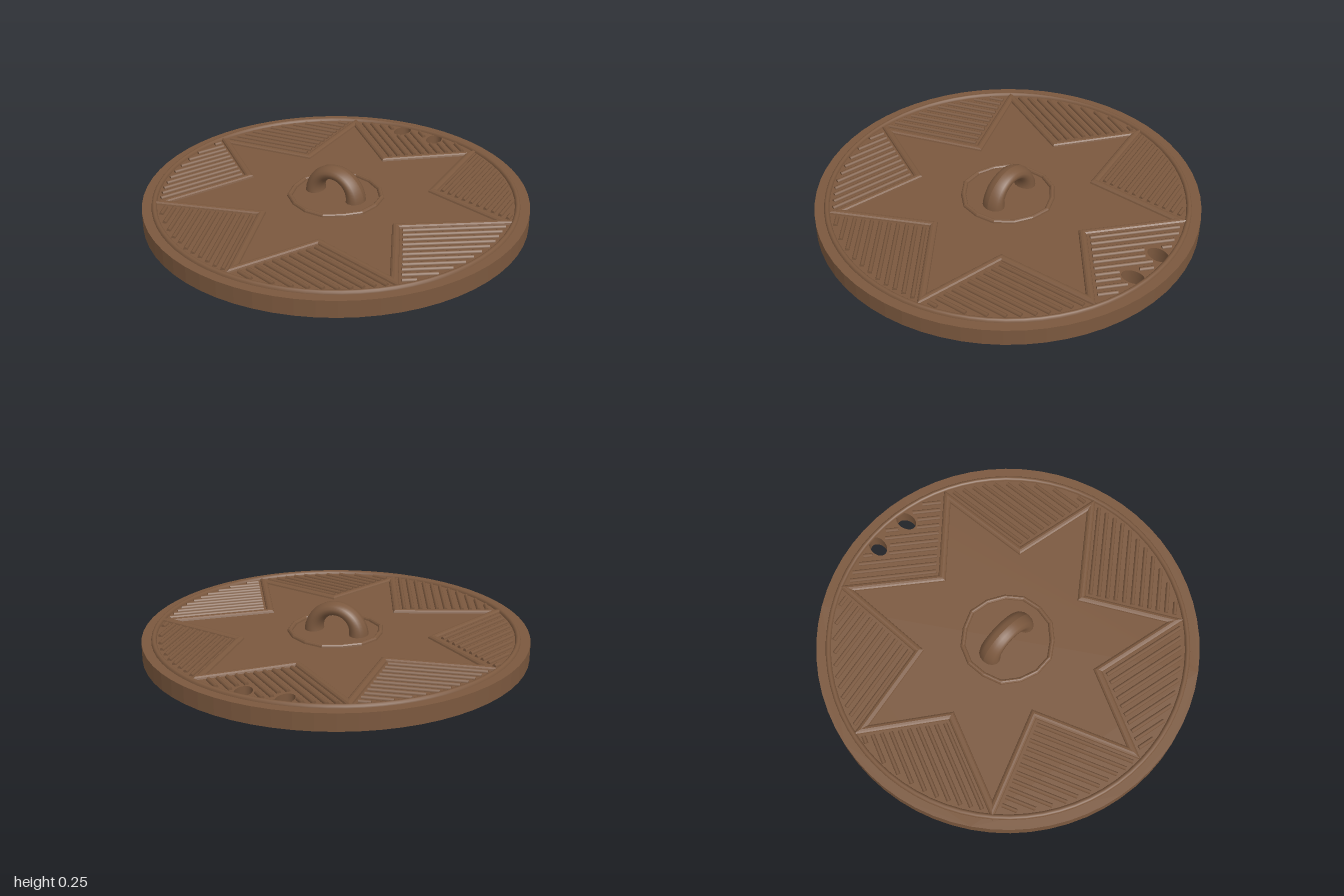
import * as THREE from 'three';
import { mergeGeometries } from 'three/addons/utils/BufferGeometryUtils.js';

const TOP = 0.09;    // height of the plate
const RIDGE = 0.016; // height of the raised lines

// Star corners as [x, z]: tip, notch, tip, notch ...
const STAR = [
  [0.005, 0.88], [0.2, 0.455], [0.685, 0.56], [0.435, 0.12], [0.87, -0.215], [0.405, -0.305], [0.36, -0.815],
  [0, -0.49], [-0.395, -0.81], [-0.37, -0.285], [-0.875, -0.19], [-0.5, 0.085], [-0.7, 0.575], [-0.2, 0.38],
].map(([x, z]) => new THREE.Vector2(x, z));

const HOLES = [-1, 1].map((s) => ({ x: s * 0.105 - 0.005, z: -0.87, tilt: s * 0.14 }));

// Closed rounded ridge swept along a loop of points, mitred at corners
function loopRidge(points, halfWidth) {
  const n = points.length, steps = 6, pos = [], index = [];
  points.forEach((p, i) => {
    const a = p.clone().sub(points[(i + n - 1) % n]).normalize();
    const b = points[(i + 1) % n].clone().sub(p).normalize();
    const na = new THREE.Vector2(-a.y, a.x), nb = new THREE.Vector2(-b.y, b.x);
    const m = na.clone().add(nb).normalize();
    m.divideScalar(m.dot(na));
    for (let j = 0; j <= steps; j++) {
      const t = (j / steps) * Math.PI, o = Math.cos(t) * halfWidth;
      pos.push(p.x + m.x * o, TOP + Math.sin(t) * RIDGE, p.y + m.y * o);
    }
  });
  for (let i = 0; i < n; i++) {
    for (let j = 0; j < steps; j++) {
      const a = i * (steps + 1) + j, b = ((i + 1) % n) * (steps + 1) + j;
      index.push(a, b, a + 1, b, b + 1, a + 1);
    }
  }
  let g = new THREE.BufferGeometry();
  g.setAttribute('position', new THREE.Float32BufferAttribute(pos, 3));
  g.setIndex(index);
  if (n < 20) g = g.toNonIndexed(); // crisp corners on coarse loops
  g.computeVertexNormals();
  return g;
}

// Straight rounded ridge half sunk in the plate
function bar(a, b) {
  const g = new THREE.CylinderGeometry(0.011, 0.011, a.distanceTo(b), 8);
  g.rotateZ(Math.PI / 2);
  g.scale(1, (RIDGE - 0.002) / 0.011, 1);
  g.rotateY(-Math.atan2(b.y - a.y, b.x - a.x));
  g.translate((a.x + b.x) / 2, TOP, (a.y + b.y) / 2);
  return g;
}

const inHole = (p) => HOLES.some((h) => Math.hypot((p.x - h.x) / 0.055, (p.y - h.z) / 0.072) < 1);

// Parallel bars filling the field between two star points
function hatch(tip, notch, nextTip) {
  const bars = [];
  const d = nextTip.clone().sub(notch).normalize();
  const e = tip.clone().sub(notch);
  const len = e.length();
  e.normalize();
  const sin = Math.abs(d.cross(e));
  for (let off = 0.044; off / sin < len; off += 0.045) {
    const start = notch.clone().addScaledVector(e, off / sin).addScaledVector(d, 0.034 / sin);
    let from = null, last = null;
    for (let t = 0; t < 1.2; t += 0.01) {
      const p = start.clone().addScaledVector(d, t);
      if (p.length() < 0.91 && !inHole(p)) {
        from = from || p;
        last = p;
      } else if (from) {
        if (from.distanceTo(last) > 0.03) bars.push(bar(from, last));
        from = null;
      }
    }
  }
  return bars;
}

function circle(radius, n, wobble = 0) {
  return Array.from({ length: n }, (_, i) => {
    const a = (i / n) * Math.PI * 2;
    const r = radius + wobble * Math.sin(i * 2.4);
    return new THREE.Vector2(Math.cos(a) * r, Math.sin(a) * r);
  });
}

export function createModel() {
  const group = new THREE.Group();
  const bronze = new THREE.MeshStandardMaterial({ color: 0x7b583e });
  bronze.name = 'bronze brown';
  const add = (name, geometry) => {
    const mesh = new THREE.Mesh(geometry, bronze);
    mesh.name = name;
    group.add(mesh);
  };

  // Round plate with two oval cord holes at the back
  const shape = new THREE.Shape().absarc(0, 0, 1, 0, Math.PI * 2, false);
  for (const h of HOLES) {
    shape.holes.push(new THREE.Path().absellipse(h.x, -h.z, 0.042, 0.06, 0, Math.PI * 2, true, h.tilt));
  }
  const plate = new THREE.ExtrudeGeometry(shape, { depth: TOP, bevelEnabled: false, curveSegments: 32 });
  plate.rotateX(-Math.PI / 2);
  add('plate', plate);

  // Raised lines; the star is listed the other way round from the circles
  add('rimRing', loopRidge(circle(0.937, 72), 0.014));
  add('centreRing', loopRidge(circle(0.236, 15, 0.005), 0.013));
  add('starOutline', loopRidge([...STAR].reverse(), 0.02));

  // Hatched fields
  const bars = [];
  for (let i = 0; i < STAR.length; i += 2) {
    bars.push(...hatch(STAR[i], STAR[i + 1], STAR[(i + 2) % STAR.length]));
  }
  add('hatching', mergeGeometries(bars));

  // Arched loop, thicker at its feet
  const loop = new THREE.TorusGeometry(1, 0.5, 14, 28, Math.PI);
  const p = loop.attributes.position;
  for (let i = 0; i < p.count; i++) {
    const x = p.getX(i), y = p.getY(i);
    const a = Math.atan2(y, x), crest = Math.max(0, Math.sin(a));
    const side = (Math.hypot(x, y) - 1) / 0.5;
    const r = 0.124 + 0.006 * crest + side * (0.05 - 0.015 * crest);
    p.setXYZ(i, Math.cos(a) * r, Math.sin(a) * r, (p.getZ(i) / 0.5) * (0.062 - 0.009 * crest));
  }
  loop.computeVertexNormals();
  loop.translate(-0.005, 0.085, -0.005);
  add('loop', loop);

  return group;
}
